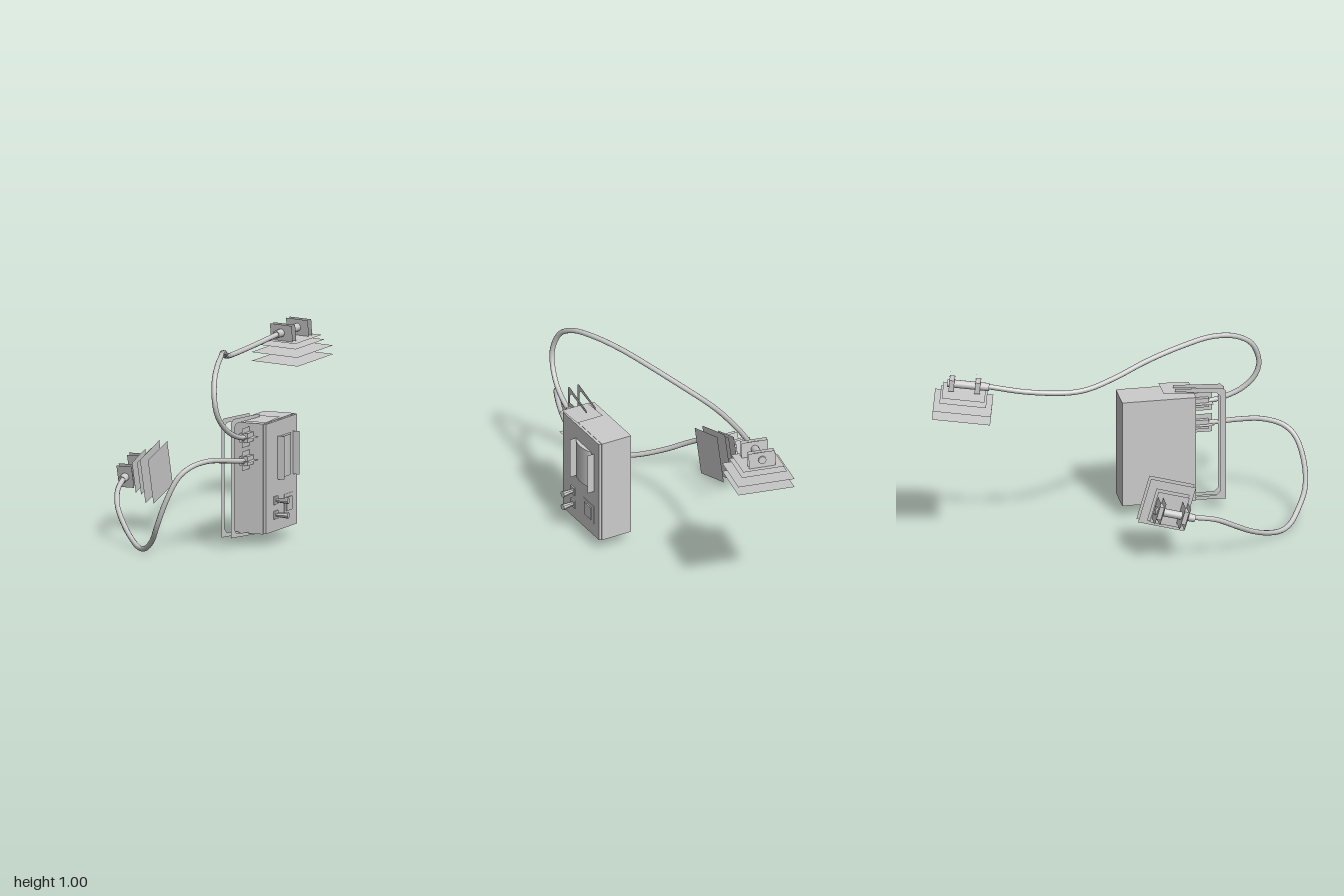
import * as THREE from 'three';

const solid = new THREE.MeshStandardMaterial({ color: 0xcccccc, flatShading: true });
const smooth = new THREE.MeshStandardMaterial({ color: 0xcccccc });
const sheet = new THREE.MeshStandardMaterial({ color: 0xcccccc, flatShading: true, side: THREE.DoubleSide });

function add(parent, name, geometry, material, x = 0, y = 0, z = 0) {
  const mesh = new THREE.Mesh(geometry, material);
  mesh.name = name;
  mesh.position.set(x, y, z);
  parent.add(mesh);
  return mesh;
}

// Box given by its limits on each axis
function block(parent, name, [x0, x1], [y0, y1], [z0, z1]) {
  return add(parent, name, new THREE.BoxGeometry(x1 - x0, y1 - y0, z1 - z0), solid,
    (x0 + x1) / 2, (y0 + y1) / 2, (z0 + z1) / 2);
}

// Thin flat plate facing z
function plate(parent, name, w, h, x, y, z) {
  return add(parent, name, new THREE.PlaneGeometry(w, h), sheet, x, y, z);
}

function cable(parent, name, points) {
  const curve = new THREE.CatmullRomCurve3(points.map(p => new THREE.Vector3(...p)));
  add(parent, name, new THREE.TubeGeometry(curve, 72, 0.0135, 10), smooth);
}

// Layered pad: stacked sheets below a rod held by two brackets
function pad(parent, name, layers, width) {
  const g = new THREE.Group();
  g.name = name;
  layers.forEach(([y, size]) => {
    plate(g, 'padSheet', size, size, 0, y, 0).rotation.x = -Math.PI / 2;
  });
  for (const z of [-0.067, 0.067]) {
    for (const d of [-0.014, 0.014]) plate(g, 'bracketPlate', width, 0.085, 0, 0, z + d);
    block(g, 'bracketCore', [-0.035, 0.035], [-0.03, 0.03], [z - 0.013, z + 0.013]);
  }
  add(g, 'rod', new THREE.CylinderGeometry(0.021, 0.021, 0.215, 12), smooth, 0, 0, 0.018).rotation.x = Math.PI / 2;
  parent.add(g);
  return g;
}

// Thin C-shaped guard, drawn in (z, y) and swung slightly about the vertical
function guard(parent, x) {
  const s = new THREE.Shape();
  [[0.34, 0.672], [0.58, 0.676], [0.6, 0.66], [0.6, 0.06], [0.34, 0.05], [0.34, 0.063],
    [0.55, 0.078], [0.57, 0.1], [0.57, 0.63], [0.55, 0.65], [0.34, 0.656]]
    .forEach(([z, y], i) => (i ? s.lineTo(z, y) : s.moveTo(z, y)));
  const geo = new THREE.ShapeGeometry(s);
  const p = geo.attributes.position;
  for (let i = 0; i < p.count; i++) {
    const z = p.getX(i);
    p.setXYZ(i, x + 0.15 * (0.6 - z), p.getY(i), z);
  }
  geo.computeVertexNormals();
  add(parent, 'guardRail', geo, sheet);
}

export function createModel() {
  const model = new THREE.Group();

  // Main unit
  const unit = new THREE.Group();
  unit.name = 'mainUnit';
  model.add(unit);
  block(unit, 'housing', [0.23, 0.402], [0.064, 0.638], [0.056, 0.442]);
  block(unit, 'controlPanel', [0.402, 0.417], [0.066, 0.636], [0.062, 0.436]);
  guard(unit, 0.24);
  guard(unit, 0.295);

  // Tilted cover flap on top
  const flap = add(unit, 'topFlap', new THREE.PlaneGeometry(0.15, 0.16), sheet, 0.345, 0.649, 0.36);
  flap.rotation.set(-Math.PI / 2 + 0.05, 0, 0);

  // Cable ports: backing plate, crossed fins and a square core
  for (const y of [0.572, 0.452]) {
    const port = new THREE.Group();
    port.name = 'cablePort';
    port.position.set(0.328, y, 0.492);
    plate(port, 'portBacking', 0.105, 0.105, 0, 0, -0.047);
    plate(port, 'portFin', 0.1, 0.1, 0, 0, 0).rotation.x = Math.PI / 2;
    plate(port, 'portFin', 0.1, 0.1, 0, 0, 0).rotation.y = Math.PI / 2;
    block(port, 'portCore', [-0.022, 0.022], [-0.024, 0.024], [-0.048, 0.03]);
    unit.add(port);
  }

  // Curved display drum with a side fin
  const drum = add(unit, 'displayDrum', new THREE.CylinderGeometry(0.075, 0.075, 0.212, 24, 1, false, 0, Math.PI),
    smooth, 0.416, 0.445, 0.22);
  drum.scale.x = 0.3;
  plate(unit, 'displayFin', 0.04, 0.225, 0.436, 0.443, 0.112);
  plate(unit, 'displayFin', 0.04, 0.225, 0.436, 0.443, 0.296);

  // Square push button
  block(unit, 'buttonFrame', [0.416, 0.42], [0.135, 0.24], [0.115, 0.22]);
  block(unit, 'button', [0.416, 0.426], [0.152, 0.223], [0.133, 0.202]);

  // Toggle switches
  for (const y of [0.226, 0.15]) {
    block(unit, 'switchBase', [0.416, 0.424], [y - 0.021, y + 0.021], [0.304, 0.346]);
    const lever = add(unit, 'switchLever', new THREE.CylinderGeometry(0.017, 0.01, 0.068, 8), solid, 0.454, y, 0.32);
    lever.rotation.z = -Math.PI / 2;
    lever.rotation.y = 0.12;
  }

  // Upper pad, lying flat
  const upper = pad(model, 'upperPad', [[-0.042, 0.22], [-0.067, 0.24], [-0.102, 0.3], [-0.148, 0.3]], 0.142);
  upper.position.set(-0.022, 0.915, -0.815);
  upper.rotation.set(0.09, -0.232, 0, 'YXZ');

  // Lower pad, standing on edge
  const lower = pad(model, 'lowerPad', [[-0.05, 0.17], [-0.082, 0.18], [-0.117, 0.245], [-0.162, 0.245]], 0.12);
  lower.position.set(-0.462, 0.3, 0.18);
  lower.rotation.set(0.28, 0, Math.PI / 2, 'YXZ');

  // Cables from the ports to the pads
  cable(model, 'upperCable', [[0.33, 0.57, 0.5], [0.325, 0.585, 0.58], [0.31, 0.635, 0.69], [0.295, 0.71, 0.76],
    [0.285, 0.79, 0.78], [0.265, 0.9, 0.74], [0.24, 0.96, 0.65], [0.2, 0.985, 0.52], [0.13, 0.975, 0.35],
    [0.05, 0.94, 0.15], [-0.03, 0.895, -0.03], [-0.085, 0.866, -0.18], [-0.1, 0.86, -0.29],
    [-0.085, 0.875, -0.5], [-0.045, 0.905, -0.7]]);
  cable(model, 'lowerCable', [[0.33, 0.45, 0.5], [0.315, 0.46, 0.58], [0.29, 0.475, 0.68], [0.25, 0.485, 0.79],
    [0.2, 0.465, 0.89], [0.155, 0.415, 0.945], [0.1, 0.29, 0.98], [0.05, 0.165, 0.975], [0, 0.075, 0.93],
    [-0.06, 0.025, 0.88], [-0.12, 0.015, 0.825], [-0.2, 0.04, 0.74], [-0.3, 0.1, 0.63], [-0.38, 0.17, 0.53],
    [-0.43, 0.235, 0.42], [-0.457, 0.268, 0.3]]);

  return model;
}
